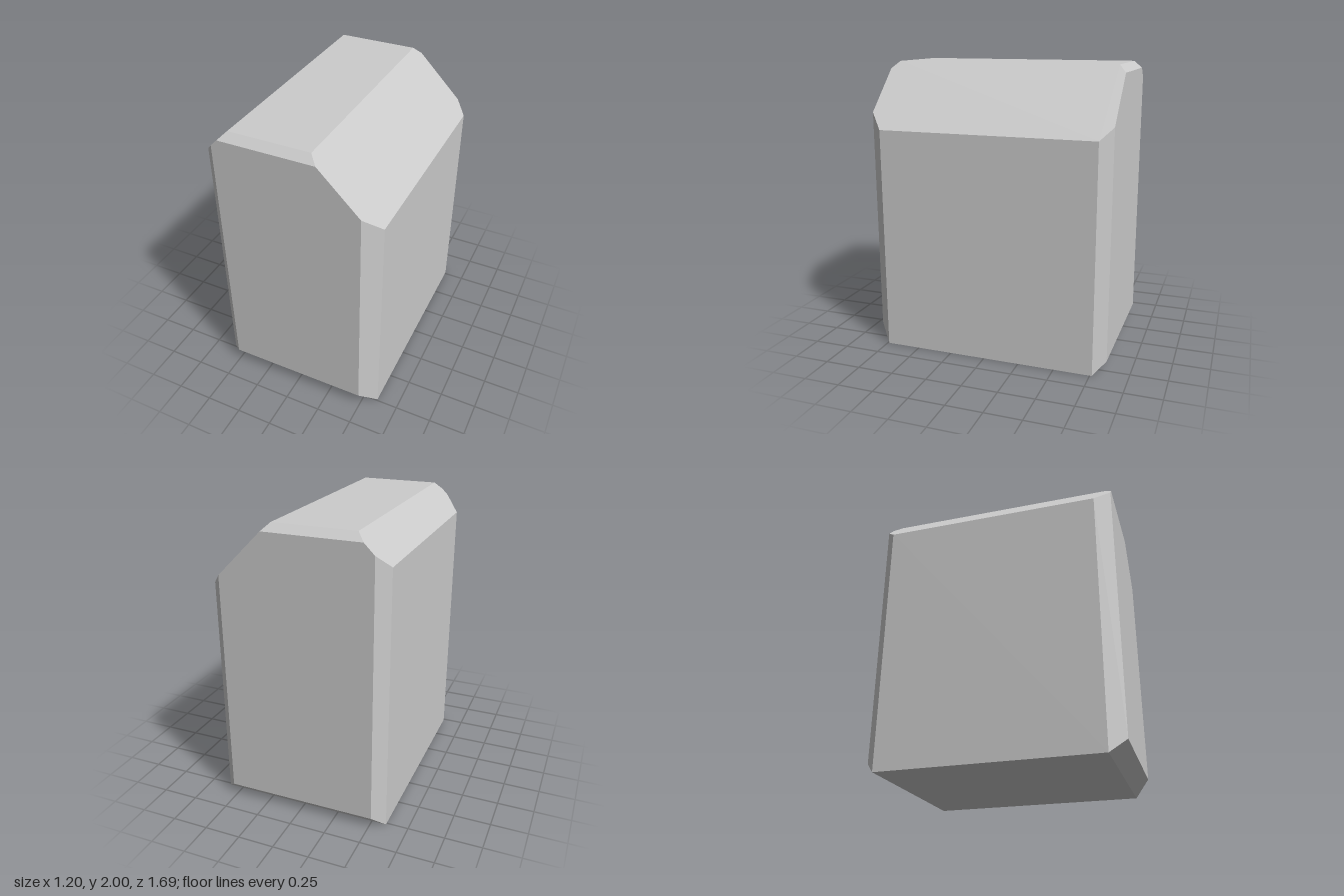
import * as THREE from 'three';

// Block outline seen from the front, counter-clockwise, with two sloped shoulders
const outline = [[-0.6, 0], [0.6, 0], [0.6, 1.56], [0.16, 2], [-0.4, 2], [-0.6, 1.8]];
const HALF_DEPTH = 0.845;
const TOP_BEVEL = 0.05;

// Full outline, set back from the end face by the bevel of each corner
function outerRing(end, bevel) {
  return outline.map(([x, y], i) => {
    const b = i === 3 || i === 4 ? TOP_BEVEL : bevel;
    return [x, y, end * (HALF_DEPTH - b)];
  });
}

// End face outline: corners move inward, shoulder corners slide along their slope
function endRing(end, bevel) {
  return outline.map(([x, y], i) => {
    const z = end * HALF_DEPTH;
    if (i === 3 || i === 4) return [x + Math.sign(x) * TOP_BEVEL, y - TOP_BEVEL, z];
    return [x - Math.sign(x) * bevel, y + bevel, z];
  });
}

function bevelledBlock(backBevel, frontBevel) {
  const rings = [
    endRing(-1, backBevel), outerRing(-1, backBevel),
    outerRing(1, frontBevel), endRing(1, frontBevel),
  ];
  const n = outline.length;
  const index = [];

  // Walls and bevels between neighbouring rings
  for (let r = 0; r < rings.length - 1; r++) {
    for (let i = 0; i < n; i++) {
      const j = (i + 1) % n;
      const a = r * n + i, b = r * n + j, c = b + n, d = a + n;
      index.push(a, b, c, a, c, d);
    }
  }

  // Back and front faces
  const front = (rings.length - 1) * n;
  for (let k = 1; k < n - 1; k++) {
    index.push(0, k + 1, k);
    index.push(front, front + k, front + k + 1);
  }

  const indexed = new THREE.BufferGeometry();
  indexed.setAttribute('position', new THREE.Float32BufferAttribute(rings.flat(2), 3));
  indexed.setIndex(index);
  const geometry = indexed.toNonIndexed();
  geometry.computeVertexNormals();
  return geometry;
}

export function createModel() {
  const group = new THREE.Group();
  group.name = 'bevelledBlock';
  const material = new THREE.MeshStandardMaterial({ color: 0xcccccc, flatShading: true });
  const body = new THREE.Mesh(bevelledBlock(0.08, 0.105), material);
  body.name = 'body';
  group.add(body);
  return group;
}
